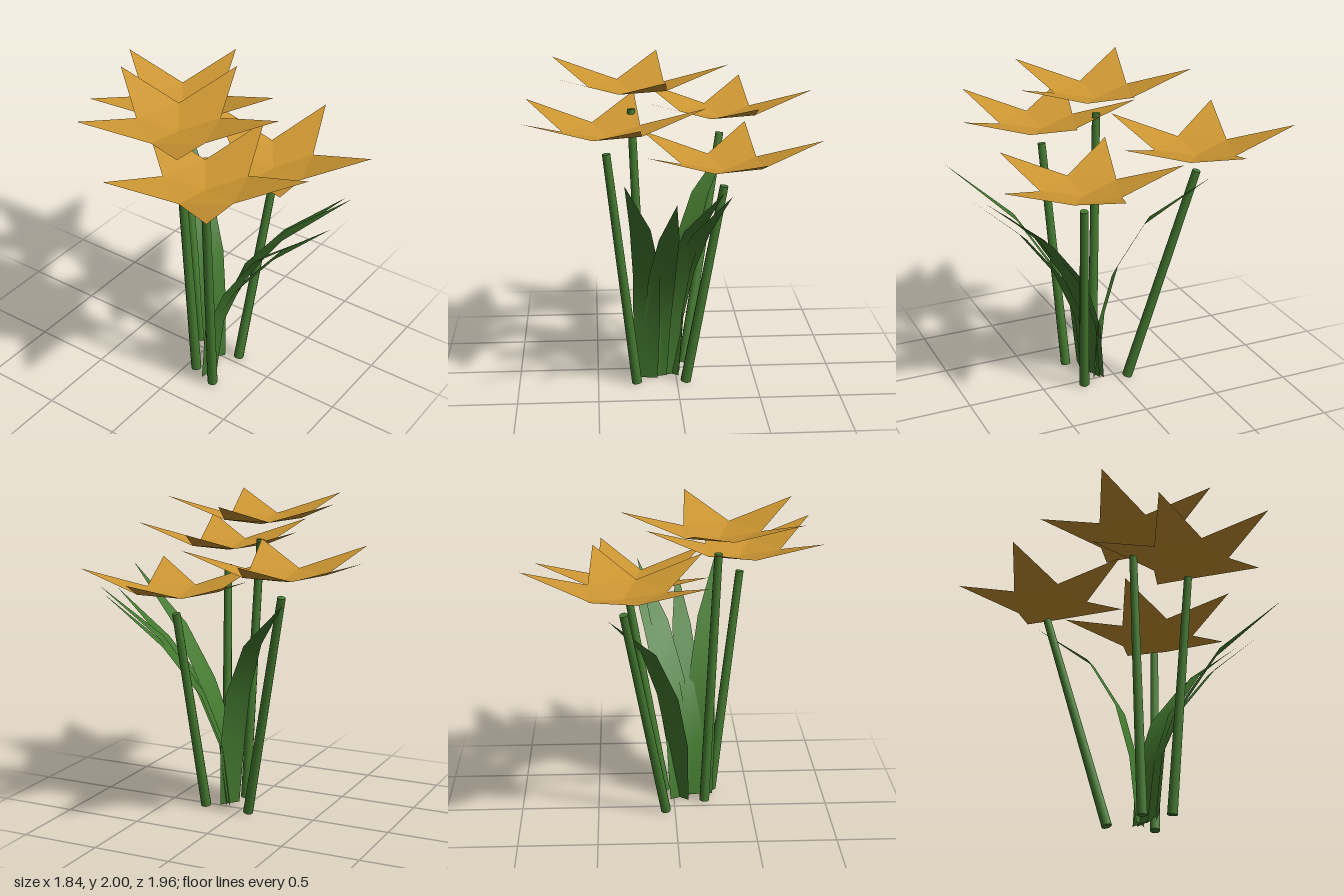
import * as THREE from 'three';

const V = (a) => new THREE.Vector3(...a);

// Five-pointed shallow blossom: a low cone with five raised petal tips
function blossomGeometry() {
  const polar = (r, deg, y) => {
    const a = THREE.MathUtils.degToRad(deg);
    return [r * Math.cos(a), y, r * Math.sin(a)];
  };
  const pos = [];
  for (let i = 0; i < 5; i++) {
    const a = i * 72;
    const before = polar(0.26, a - 36, 0.043);
    const after = polar(0.26, a + 36, 0.043);
    const tip = polar(0.6, a, 0.172);
    pos.push(0, 0, 0, ...after, ...before); // heart facet
    pos.push(...before, ...after, ...tip); // petal tip
  }
  const g = new THREE.BufferGeometry();
  g.setAttribute('position', new THREE.Float32BufferAttribute(pos, 3));
  g.computeVertexNormals();
  return g;
}

// Tapered stem between two points
function stemGeometry(from, to) {
  const dir = to.clone().sub(from);
  const g = new THREE.CylinderGeometry(0.026, 0.033, dir.length(), 10);
  g.applyQuaternion(new THREE.Quaternion().setFromUnitVectors(new THREE.Vector3(0, 1, 0), dir.normalize()));
  const mid = from.clone().add(to).multiplyScalar(0.5);
  return g.translate(mid.x, mid.y, mid.z);
}

// Curved blade: a strip across the spine points, ending in a sharp tip
const HALF_WIDTHS = [0.07, 0.085, 0.085, 0.062, 0];
function leafGeometry(spine) {
  const pts = spine.map(V);
  const out = pts[4].clone().sub(pts[0]).setY(0).normalize();
  const side = new THREE.Vector3(out.z, 0, -out.x);
  const pos = [];
  const index = [];
  pts.forEach((p, i) => {
    for (const s of [-1, 1]) {
      pos.push(...p.clone().addScaledVector(side, s * HALF_WIDTHS[i]).toArray());
    }
    if (i < 4) {
      const k = i * 2;
      index.push(k, k + 2, k + 1);
      index.push(k + 1, k + 2, k + 3);
    }
  });
  const g = new THREE.BufferGeometry();
  g.setAttribute('position', new THREE.Float32BufferAttribute(pos, 3));
  g.setIndex(index);
  g.computeVertexNormals();
  return g;
}

export function createModel() {
  const model = new THREE.Group();
  model.name = 'flowerClump';
  const gold = new THREE.MeshStandardMaterial({ color: 0xcc9632, side: THREE.DoubleSide });
  gold.name = 'petalGold';
  const green = new THREE.MeshStandardMaterial({ color: 0x447a30, side: THREE.DoubleSide });
  green.name = 'leafGreen';

  const add = (name, geometry, material) => {
    const mesh = new THREE.Mesh(geometry, material);
    mesh.name = name;
    model.add(mesh);
    return mesh;
  };

  // Flowers: blossom centre and stem foot
  const flowers = [
    { centre: [-0.27, 1.828, 0], foot: [-0.2, 0.01, 0.07] },
    { centre: [-0.43, 1.622, 0.31], foot: [-0.255, 0.01, 0.24] },
    { centre: [0.32, 1.58, -0.41], foot: [0.06, 0.01, -0.07] },
    { centre: [0.28, 1.416, 0.32], foot: [0.055, 0.01, 0.235] },
  ];
  const blossom = blossomGeometry();
  flowers.forEach(({ centre, foot }, i) => {
    add(`blossom${i + 1}`, blossom, gold).position.set(...centre);
    const top = V(centre);
    top.y -= 0.097;
    add(`stem${i + 1}`, stemGeometry(V(foot), top), green);
  });

  // Leaves: four arching forward, one arching back
  const leaves = [
    [[-0.19, 0.01, 0.17], [-0.19, 0.42, 0.21], [-0.195, 0.78, 0.35], [-0.24, 1.13, 0.57], [-0.34, 1.51, 0.98]],
    [[-0.13, 0.01, 0.15], [-0.12, 0.4, 0.19], [-0.1, 0.74, 0.34], [-0.07, 1.07, 0.59], [-0.045, 1.38, 0.93]],
    [[-0.05, 0.01, 0.13], [-0.045, 0.41, 0.17], [0, 0.77, 0.31], [0.08, 1.11, 0.54], [0.22, 1.44, 0.91]],
    [[-0.04, 0.01, 0.11], [-0.03, 0.4, 0.15], [0.03, 0.75, 0.27], [0.125, 1.07, 0.5], [0.275, 1.4, 0.845]],
    [[-0.04, 0.01, 0.11], [-0.02, 0.42, 0.08], [0.045, 0.78, 0.01], [0.17, 1.14, -0.15], [0.41, 1.46, -0.46]],
  ];
  leaves.forEach((spine, i) => add(`leaf${i + 1}`, leafGeometry(spine), green));

  return model;
}
